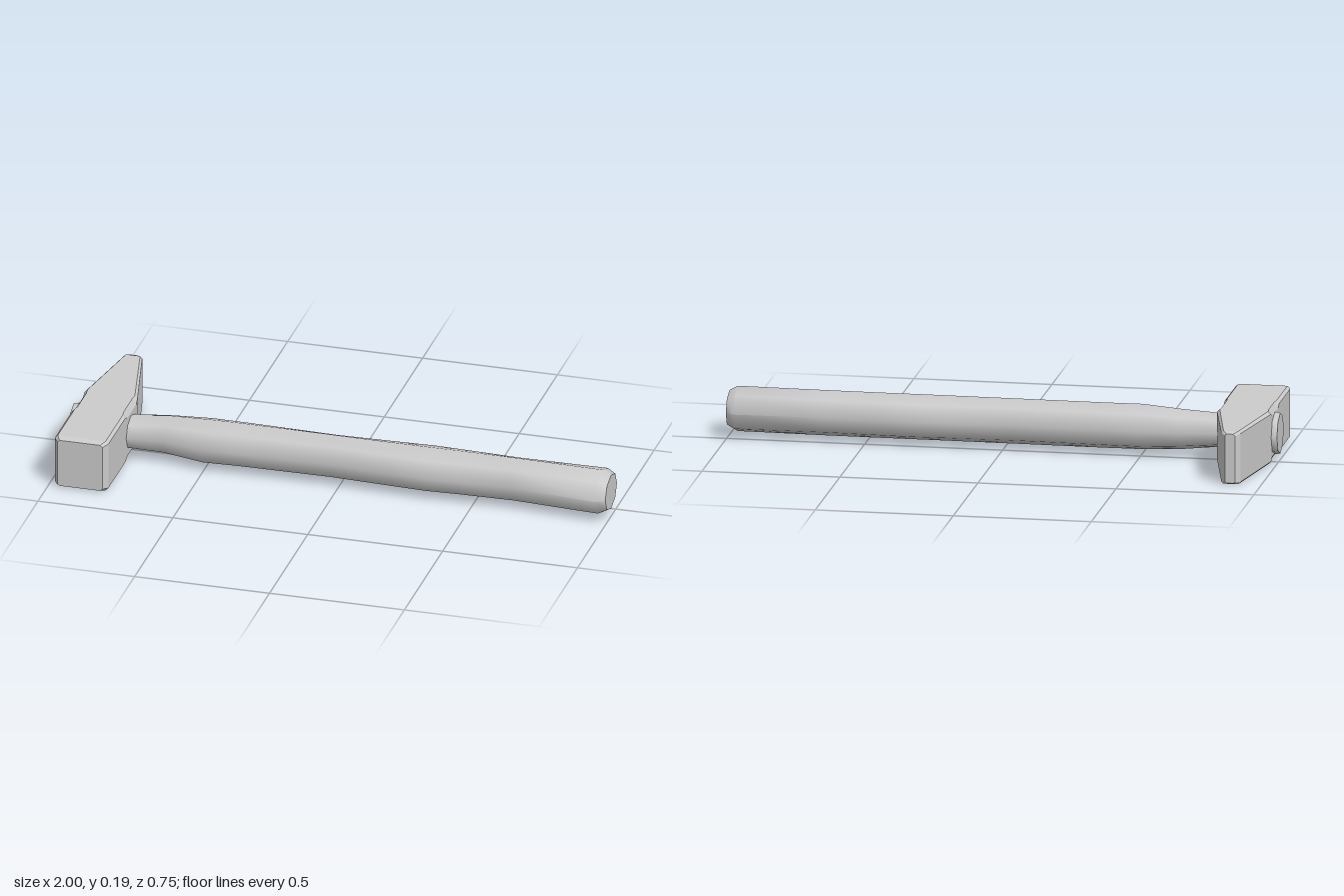
import * as THREE from 'three';
import { toCreasedNormals } from 'three/addons/utils/BufferGeometryUtils.js';

const MID_Y = 0.098;

// Skin a list of equal-length rings and close both ends with fans.
function loft(rings, crease) {
  const n = rings[0].length;
  const pos = rings.flat().flatMap((p) => p.toArray());
  const index = [];
  for (let i = 0; i < rings.length - 1; i++) {
    for (let j = 0; j < n; j++) {
      const a = i * n + j, b = i * n + (j + 1) % n;
      index.push(a, b, b + n, a, b + n, a + n);
    }
  }
  [0, rings.length - 1].forEach((r, end) => {
    const c = new THREE.Vector3();
    rings[r].forEach((p) => c.addScaledVector(p, 1 / n));
    const ci = pos.length / 3;
    pos.push(c.x, c.y, c.z);
    for (let j = 0; j < n; j++) {
      const a = r * n + j, b = r * n + (j + 1) % n;
      index.push(ci, end ? a : b, end ? b : a);
    }
  });
  const g = new THREE.BufferGeometry();
  g.setAttribute('position', new THREE.Float32BufferAttribute(pos, 3));
  g.setIndex(index);
  return toCreasedNormals(g, crease);
}

// Rectangle with cut corners in the xy plane; the +x and -x sides have their own cuts.
function headRing([z, x0, x1, halfY, cut, cutX]) {
  const t = MID_Y + halfY, b = MID_Y - halfY;
  return [
    [x1, b + cut], [x1, t - cut], [x1 - cutX, t], [x0 + cutX, t],
    [x0, t - cut], [x0, b + cut], [x0 + cutX, b], [x1 - cutX, b],
  ].map(([x, y]) => new THREE.Vector3(x, y, z));
}

// Octagonal section of the handle in the yz plane.
function handleRing([x, zMin, zMax, ry]) {
  const zc = (zMin + zMax) / 2, rz = (zMax - zMin) / 2;
  return Array.from({ length: 8 }, (_, i) => {
    const a = i * Math.PI / 4;
    return new THREE.Vector3(x, MID_Y + ry * Math.cos(a), zc + rz * Math.sin(a));
  });
}

export function createModel() {
  const group = new THREE.Group();
  const material = new THREE.MeshStandardMaterial({ color: 0xcccccc });
  const add = (name, geometry) => {
    const mesh = new THREE.Mesh(geometry, material);
    mesh.name = name;
    group.add(mesh);
  };

  // Head: z, x range, half height, corner cuts; wedge peen at -z, square face at +z
  add('hammerHead', loft([
    [-0.373, -0.908, -0.872, 0.09, 0.006, 0.006],
    [-0.355, -0.925, -0.856, 0.097, 0.008, 0.008],
    [-0.04, -0.98, -0.784, 0.097, 0.01, 0.01],
    [-0.015, -0.98, -0.782, 0.097, 0.022, 0.014],
    [0.1, -0.98, -0.782, 0.097, 0.022, 0.014],
    [0.125, -0.98, -0.782, 0.097, 0.01, 0.01],
    [0.348, -0.98, -0.782, 0.097, 0.01, 0.01],
    [0.372, -0.964, -0.798, 0.09, 0.008, 0.008],
  ].map(headRing), 0.15));

  // Handle: x, z range, half height; runs through the head and swells at the grip
  add('handle', loft([
    [-1, -0.035, 0.105, 0.074],
    [-0.985, -0.04, 0.11, 0.078],
    [-0.78, -0.02, 0.117, 0.062],
    [-0.65, -0.032, 0.105, 0.073],
    [-0.5, -0.04, 0.136, 0.083],
    [-0.37, -0.037, 0.128, 0.083],
    [-0.03, -0.025, 0.122, 0.083],
    [0.2, -0.036, 0.137, 0.083],
    [0.33, -0.043, 0.145, 0.083],
    [0.45, -0.036, 0.137, 0.083],
    [0.65, -0.025, 0.13, 0.083],
    [0.97, -0.035, 0.157, 0.083],
    [1, -0.016, 0.138, 0.066],
  ].map(handleRing), 0.9));

  return group;
}
